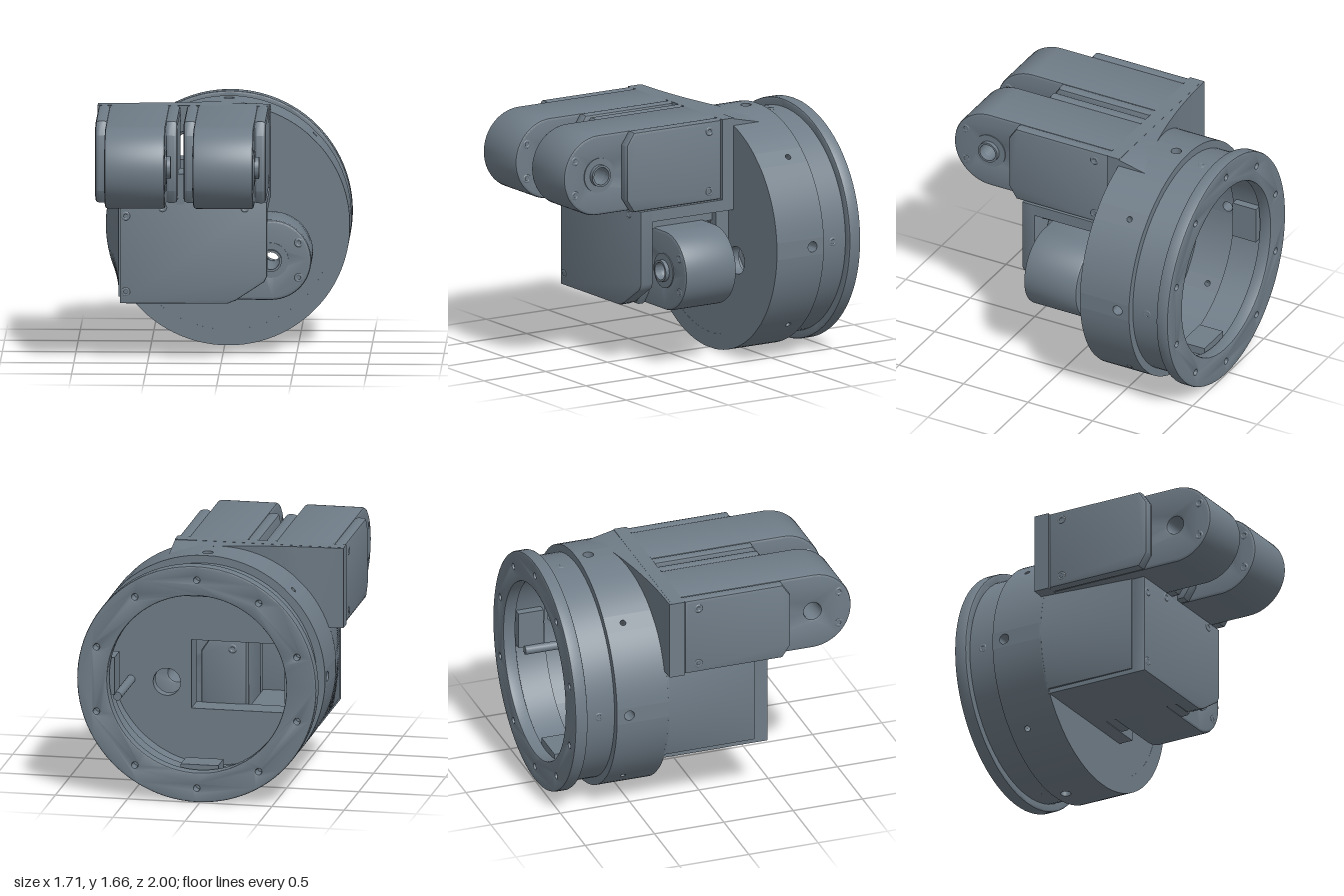
import * as THREE from 'three';
import { toCreasedNormals } from 'three/addons/utils/BufferGeometryUtils.js';

const CX = 0.022, CY = 0.83, R = 0.829; // axis and radius of the round housing

export function createModel() {
  const model = new THREE.Group();
  model.name = 'gripper';
  const slate = new THREE.MeshStandardMaterial({ color: 0x6f7c87 });
  slate.name = 'slate grey';

  function add(name, geometry, parent = model) {
    const mesh = new THREE.Mesh(toCreasedNormals(geometry, 0.6), slate);
    mesh.name = name;
    parent.add(mesh);
    return mesh;
  }
  function box(name, x0, x1, y0, y1, z0, z1, parent) {
    const g = new THREE.BoxGeometry(x1 - x0, y1 - y0, z1 - z0);
    g.translate((x0 + x1) / 2, (y0 + y1) / 2, (z0 + z1) / 2);
    return add(name, g, parent);
  }
  const polygon = pts => new THREE.Shape(pts.map(p => new THREE.Vector2(...p)));
  const rect = (x0, x1, y0, y1) => polygon([[x0, y0], [x1, y0], [x1, y1], [x0, y1]]);
  const circle = (x, y, r) => new THREE.Path().absarc(x, y, r, 0, Math.PI * 2, true);

  // extrude an (x, y) outline from z0 to z1, with optional bevelled rims
  function frontExtrude(shape, z0, z1, bevel = 0, curveSegments = 32) {
    const g = new THREE.ExtrudeGeometry(shape, {
      depth: z1 - z0 - 2 * bevel, curveSegments, bevelEnabled: bevel > 0,
      bevelThickness: bevel, bevelSize: bevel, bevelOffset: -bevel, bevelSegments: 2,
    });
    return g.translate(0, 0, z0 + bevel);
  }
  // extrude a (z, y) outline from x0 to x1
  const sideExtrude = (shape, x0, x1, bevel) =>
    frontExtrude(shape, -x1, -x0, bevel).rotateY(-Math.PI / 2);

  // move every vertex by a rule
  function reshape(geometry, rule) {
    const pos = geometry.attributes.position, v = new THREE.Vector3();
    for (let i = 0; i < pos.count; i++) {
      rule(v.fromBufferAttribute(pos, i));
      pos.setXYZ(i, v.x, v.y, v.z);
    }
    return geometry;
  }

  // small screw rim, lying in the xy plane
  function screw(x, y, z, parent, sideways = false) {
    const g = new THREE.TorusGeometry(0.022, 0.008, 6, 16).scale(1, 1, 0.4);
    if (sideways) g.rotateY(Math.PI / 2);
    add('screw', g.translate(x, y, z), parent);
  }

  // Round housing, built about its own axis
  const housing = new THREE.Group();
  housing.name = 'housing';
  housing.position.set(CX, CY, 0);
  model.add(housing);

  function ring(name, inner, outer, z0, z1, segments, start, length) {
    const profile = [[inner, z0], [outer, z0], [outer, z1], [inner, z1], [inner, z0]]
      .map(p => new THREE.Vector2(...p));
    add(name, new THREE.LatheGeometry(profile, segments, start, length).rotateX(Math.PI / 2), housing);
  }
  ring('grooveRing', 0.66, 0.775, -0.92, -0.69, 72, 0, Math.PI * 2);

  // housing wall: eight curved sections joined by narrow drilled panels
  const half = 0.07;
  for (let k = 0; k < 8; k++) {
    const angle = k * Math.PI / 4;
    ring('wallSection', 0.72, R, -0.7, -0.32, 10, angle + half, Math.PI / 4 - 2 * half);
    const t = R * Math.sin(half);
    const panel = rect(-0.7, -0.32, -t, t);
    panel.holes.push(k % 2 ? circle(-0.57, 0, 0.02) : circle(-0.61, 0, 0.036));
    add('drilledPanel', sideExtrude(panel, 0.72, R * Math.cos(half)), housing).rotation.z = angle;
    if (k % 2 === 0) {
      const holder = new THREE.Group();
      holder.name = 'grooveFitting';
      holder.rotation.z = angle;
      housing.add(holder);
      screw(0.774, 0, -0.81, holder, true);
      box('innerClip', 0.59, 0.68, -0.13, 0.13, -0.9, -0.72, holder);
    }
  }

  // rear flange with a circle of screw holes
  const flange = new THREE.Shape().absarc(0, 0, R, 0, Math.PI * 2);
  flange.holes.push(circle(0, 0, 0.62));
  for (let k = 0; k < 10; k++) {
    const a = (k + 0.5) * Math.PI / 5;
    flange.holes.push(circle(0.73 * Math.cos(a), 0.73 * Math.sin(a), 0.02));
  }
  add('rearFlange', frontExtrude(flange, -1, -0.91, 0.012, 48), housing);

  // front wall with the cable slot, the thumb bore and the opening into the thumb base
  const slot = () => rect(-0.31, -0.25, 1.29, 1.48);
  const opening = () => rect(-0.58, 0.18, 0.5, 0.98);
  const front = new THREE.Shape().absarc(CX, CY, 0.8, 0, Math.PI * 2);
  front.holes.push(slot(), opening(), circle(0.35, 0.675, 0.095));
  add('frontWall', frontExtrude(front, -0.4, -0.321, 0, 48));

  // inner post
  add('innerPost', new THREE.CylinderGeometry(0.03, 0.03, 0.48, 16).rotateX(Math.PI / 2)
    .translate(0.6, 0.68, -0.62));

  // Finger mount: a slotted plate, swept back into the housing
  const mount = rect(-0.86, 0.31, 1.1, 1.66);
  mount.holes.push(slot());
  add('fingerMount', frontExtrude(mount, -0.325, -0.23));
  const sweep = new THREE.Shape().moveTo(-0.86, 1.1);
  for (let i = 0; i <= 10; i++) sweep.lineTo(-0.86 + 0.117 * i, 1.659);
  sweep.absarc(CX, CY, 0.74, 1.168, 2.768, false);
  add('mountSweep', reshape(frontExtrude(sweep, -0.53, -0.3), v => {
    if (v.z > -0.5) return;
    const t = (v.x + 0.86) / 1.17;
    v.z = -0.34 - 0.19 * t * t;
    // the right end sinks into the round wall
    if (v.x > CX) v.y = Math.min(v.y, CY + Math.sqrt(R * R - (v.x - CX) ** 2) - 0.002);
  }));

  // Finger: pivot at the origin, tip towards +z, root at -length
  function finger(name, r, length) {
    const group = new THREE.Group();
    group.name = name;
    const core = new THREE.Shape().moveTo(-length, -r).lineTo(0, -r);
    core.absarc(0, 0, r, -Math.PI / 2, Math.PI / 2).lineTo(-length, r);
    core.holes.push(circle(0, 0, 0.06));
    add('fingerCore', sideExtrude(core, -0.205, 0.205, 0.018), group);

    const cheek = polygon([[-length, -r], [-0.24, -r], [-0.18, -r + 0.09],
      [-0.18, r - 0.09], [-0.24, r], [-length, r]]);
    for (const s of [-1, 1]) {
      add('fingerCheek', sideExtrude(cheek, s * 0.237 - 0.043, s * 0.237 + 0.043, 0.025), group);
      for (const y of [-0.21, 0.21]) screw(s * 0.28, y, 0.1 - length, group, true);
      for (const y of [-0.12, 0.12]) screw(s * 0.205, y, 0.19, group, true);
    }
    // pivot boss with a shallow washer
    const discs = [['pivotWasher', 0.12, 0.212], ['pivotBoss', 0.075, 0.24]];
    for (const [part, radius, x1] of discs) {
      const disc = new THREE.Shape().absarc(0, 0, radius, 0, Math.PI * 2);
      disc.holes.push(circle(0, 0, 0.06));
      add(part, sideExtrude(disc, 0.19, x1), group);
    }
    model.add(group);
    return group;
  }
  finger('rightFinger', 0.28, 0.95).position.set(-0.575, 1.38, 0.72);
  finger('leftFinger', 0.28, 0.95).position.set(0.025, 1.38, 0.72);
  const thumb = finger('thumb', 0.275, 0.5);
  thumb.position.set(0.33, 0.675, 0.05);
  thumb.rotation.set(0, Math.PI / 2, Math.PI, 'YXZ');
  box('fingerBridge', -0.31, -0.25, 1.08, 1.29, 0.15, 0.43);

  // Thumb base: a hollow box open towards the housing
  const back = rect(-0.69, 0.25, 0.4, 1.05);
  back.holes.push(opening());
  add('thumbBaseBack', frontExtrude(back, -0.33, -0.22));
  box('thumbBaseSide', -0.69, -0.63, 0.4, 1.05, -0.23, 0.34);
  box('thumbBaseFloor', -0.69, -0.1, 0.4, 0.46, -0.23, 0.34);
  box('thumbBaseTop', -0.69, 0.2, 0.94, 1.05, -0.23, 0.33);
  box('topRail', -0.69, 0.31, 1.02, 1.1, -0.33, 0.34);
  const cover = polygon([[-0.69, 0.4], [0.04, 0.4], [0.1, 0.425], [0.29, 0.55], [0.31, 0.59],
    [0.31, 1.1], [-0.69, 1.1]]);
  add('frontCover', frontExtrude(cover, 0.33, 0.43, 0.01));
  for (const [x, y] of [[-0.65, 1], [-0.4, 1.06], [0.16, 1.06], [-0.65, 0.48]]) screw(x, y, 0.43);

  // side fairing: follows the round wall at the back, tapers flat to the cover
  const fairing = new THREE.Shape().moveTo(-0.66, 0.43).lineTo(-0.66, 1.1);
  fairing.absarc(CX, CY, R, Math.PI - 0.331, Math.PI + 0.502, false);
  add('sideFairing', reshape(frontExtrude(fairing, -0.33, 0.33), v => {
    if (v.z > 0) v.x = Math.max(v.x, -0.7);
  }));

  return model;
}
